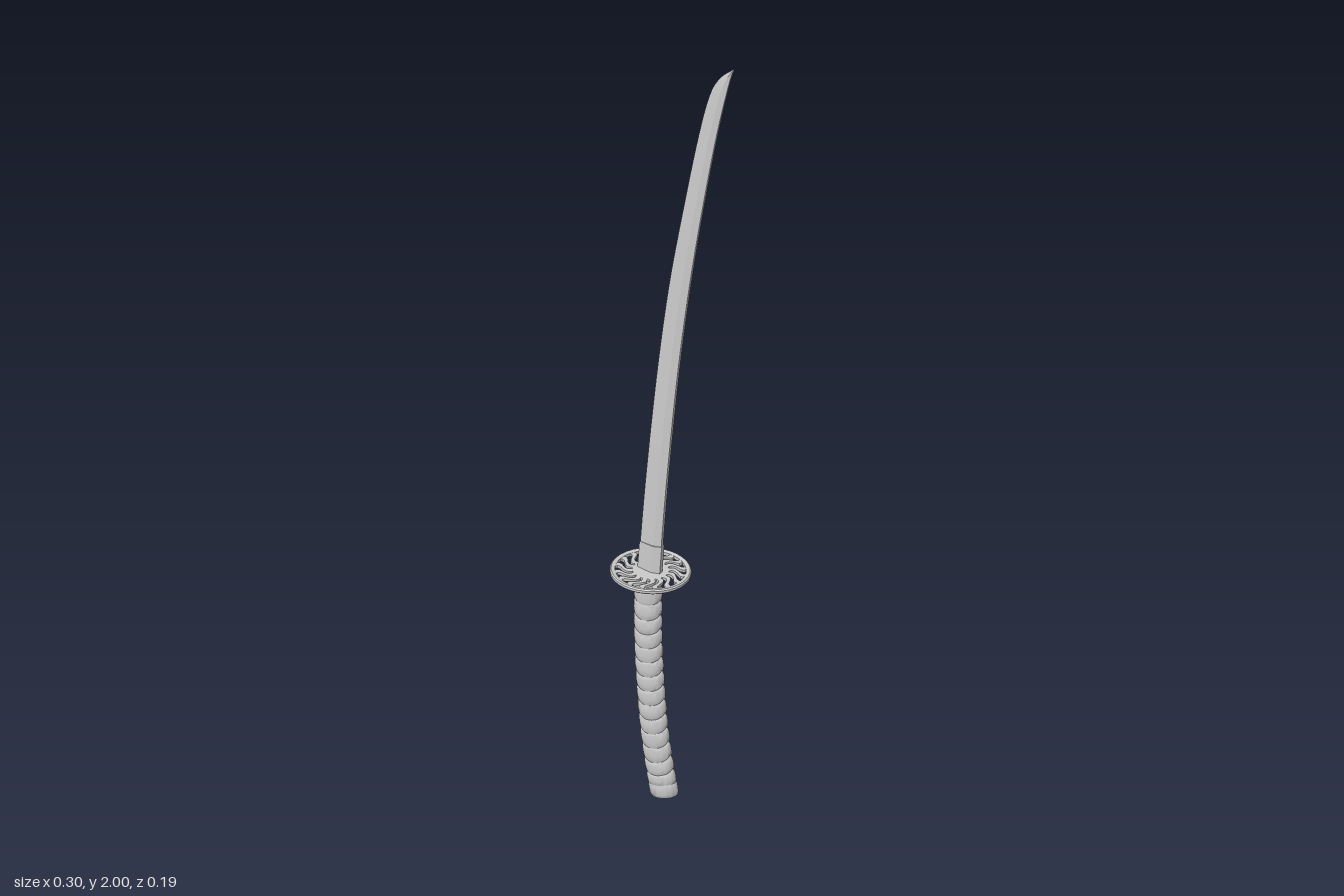
import * as THREE from 'three';
import { toCreasedNormals } from 'three/addons/utils/BufferGeometryUtils.js';

const material = new THREE.MeshStandardMaterial({ color: 0xcccccc, side: THREE.DoubleSide });
const SLOPE = -0.11; // the blade plane is turned slightly about the vertical

// Skin a stack of rings (counter-clockwise seen from above, bottom to top) and cap both ends
function loft(rings, crease) {
  const n = rings[0].length, pos = [], index = [];
  for (const ring of rings) for (const p of ring) pos.push(p.x, p.y, p.z);
  for (let i = 0; i < rings.length - 1; i++) {
    for (let j = 0; j < n; j++) {
      const a = i * n + j, b = i * n + (j + 1) % n;
      index.push(a, b, b + n, a, b + n, a + n);
    }
  }
  [0, rings.length - 1].forEach((i) => {
    const c = new THREE.Vector3();
    rings[i].forEach((p) => c.addScaledVector(p, 1 / n));
    const centre = pos.length / 3;
    pos.push(c.x, c.y, c.z);
    for (let j = 0; j < n; j++) {
      const a = i * n + j, b = i * n + (j + 1) % n;
      if (i === 0) index.push(centre, b, a);
      else index.push(centre, a, b);
    }
  });
  const geometry = new THREE.BufferGeometry();
  geometry.setAttribute('position', new THREE.Float32BufferAttribute(pos, 3));
  geometry.setIndex(index);
  return toCreasedNormals(geometry, crease);
}

function part(name, geometry) {
  const mesh = new THREE.Mesh(geometry, material);
  mesh.name = name;
  return mesh;
}

// Blade outline: x of the cutting edge, height, x of the spine
const outline = new THREE.CatmullRomCurve3([
  [-0.09, 0.6, -0.035], [-0.075, 0.8, -0.021], [-0.057, 1.0, -0.004], [-0.036, 1.2, 0.016],
  [-0.01, 1.4, 0.041], [0.024, 1.6, 0.071], [0.061, 1.8, 0.105], [0.084, 1.9, 0.125],
  [0.1, 1.945, 0.135], [0.12, 1.975, 0.142], [0.148, 2.0, 0.15],
].map((p) => new THREE.Vector3(...p)), false, 'centripetal');

// Six-sided section: flat spine, ridge on each face, sharp edge
function bladeRing(o, thickness, grow = 0) {
  return [[0, 0], [0, -0.6], [0.35, -1], [1, 0], [0.35, 1], [0, 0.6]].map(([f, s]) => {
    const x = THREE.MathUtils.lerp(o.z + grow, o.x - grow, f);
    return new THREE.Vector3(x, o.y, SLOPE * (x + 0.06) + 0.002 + s * thickness);
  });
}

function makeBlade() {
  const rings = [];
  for (let i = 0; i <= 60; i++) {
    const o = outline.getPoint(i / 60);
    rings.push(bladeRing(o, i === 60 ? 0.001 : 0.008 - 0.004 * i / 60));
  }
  return loft(rings, 0.3);
}

// Handle centre line
const grip = new THREE.CatmullRomCurve3([
  [-0.033, 0.004, -0.02], [-0.047, 0.1, -0.015], [-0.057, 0.2, -0.01],
  [-0.067, 0.4, -0.004], [-0.066, 0.6, 0],
].map((p) => new THREE.Vector3(...p)));

// Oval ring across the handle at t; dip lowers the broad sides into a V
function gripRing(t, scale, dip = 0) {
  const c = grip.getPointAt(t), d = grip.getTangentAt(t);
  const ring = [];
  for (let j = 0; j < 32; j++) {
    const a = j / 32 * Math.PI * 2;
    const u = Math.cos(a) * 0.033 * scale, w = -Math.sin(a) * 0.021 * scale;
    const drop = dip * Math.abs(Math.sin(a));
    ring.push(new THREE.Vector3(
      c.x + u - d.x * drop,
      c.y - (u * d.x + w * d.z) / d.y - drop,
      c.z + SLOPE * u + w - d.z * drop));
  }
  return ring;
}

// Overlapping cord turns, each narrow at its seams
function makeWrap() {
  const rings = [], turns = 14, t0 = 0.055, t1 = 0.95;
  for (let k = 0; k < turns; k++) {
    for (const [f, s] of [[0, 0.92], [0.1, 0.99], [0.4, 1.03], [0.75, 1.02], [0.93, 0.98]]) {
      const q = (k + f) / turns;
      const fade = Math.min(1, q * 10, (1 - q) * 10);
      rings.push(gripRing(t0 + (t1 - t0) * q, s, 0.014 * fade));
    }
  }
  rings.push(gripRing(t1, 0.92));
  return loft(rings, 0.5);
}

function gripStack(list) {
  return loft(list.map(([t, s]) => gripRing(t, s)), 0.6);
}

// Pierced disc with swirling slots between curved spokes
function makeGuardPlate() {
  const shape = new THREE.Shape().absarc(0, 0, 0.086, 0, Math.PI * 2);
  const slots = 16, steps = 8, inner = 0.042, outer = 0.083;
  for (let k = 0; k < slots; k++) {
    const points = [];
    for (const side of [-1, 1]) {
      for (let i = 0; i <= steps; i++) {
        const f = side < 0 ? i / steps : 1 - i / steps;
        const r = inner + (outer - inner) * f;
        const swirl = -0.3 * f + 0.1 * Math.sin(f * Math.PI * 2);
        const a = k / slots * Math.PI * 2 + swirl + side * (0.06 + 0.06 * f);
        points.push(new THREE.Vector2(r * Math.cos(a), r * Math.sin(a)));
      }
    }
    shape.holes.push(new THREE.Path(points));
  }
  const geometry = new THREE.ExtrudeGeometry(shape, { depth: 0.007, bevelEnabled: false, curveSegments: 32 });
  return geometry.translate(0, 0, -0.0035).rotateX(-Math.PI / 2);
}

function makeGuard() {
  const guard = new THREE.Group();
  guard.name = 'guard';
  const rim = [[0.082, -0.004], [0.086, -0.006], [0.091, -0.006], [0.094, -0.003],
    [0.094, 0.003], [0.091, 0.006], [0.086, 0.006], [0.082, 0.004], [0.082, -0.004]];
  guard.add(
    part('guardPlate', makeGuardPlate()),
    part('guardRim', toCreasedNormals(
      new THREE.LatheGeometry(rim.map((p) => new THREE.Vector2(...p)), 32), 0.5)));
  guard.position.set(-0.059, 0.606, 0.001);
  guard.rotation.z = -0.04;
  return guard;
}

export function createModel() {
  const sword = new THREE.Group();
  sword.name = 'sword';
  sword.add(part('blade', makeBlade()));

  // Sleeve around the foot of the blade
  sword.add(part('bladeCollar', loft([0, 0.02, 0.04].map(
    (t) => bladeRing(outline.getPoint(t), 0.0105, 0.002)), 0.3)));

  sword.add(makeGuard());

  // Handle: cord wrap between a ferrule and a rounded end cap
  sword.add(part('handleWrap', makeWrap()));
  sword.add(part('ferrule', gripStack([[0.945, 0.97], [0.95, 1], [0.99, 1], [1, 0.96]])));
  sword.add(part('pommelCap', gripStack([[0, 0.86], [0.006, 0.96], [0.015, 1.02], [0.05, 1.03], [0.06, 0.97]])));
  return sword;
}
